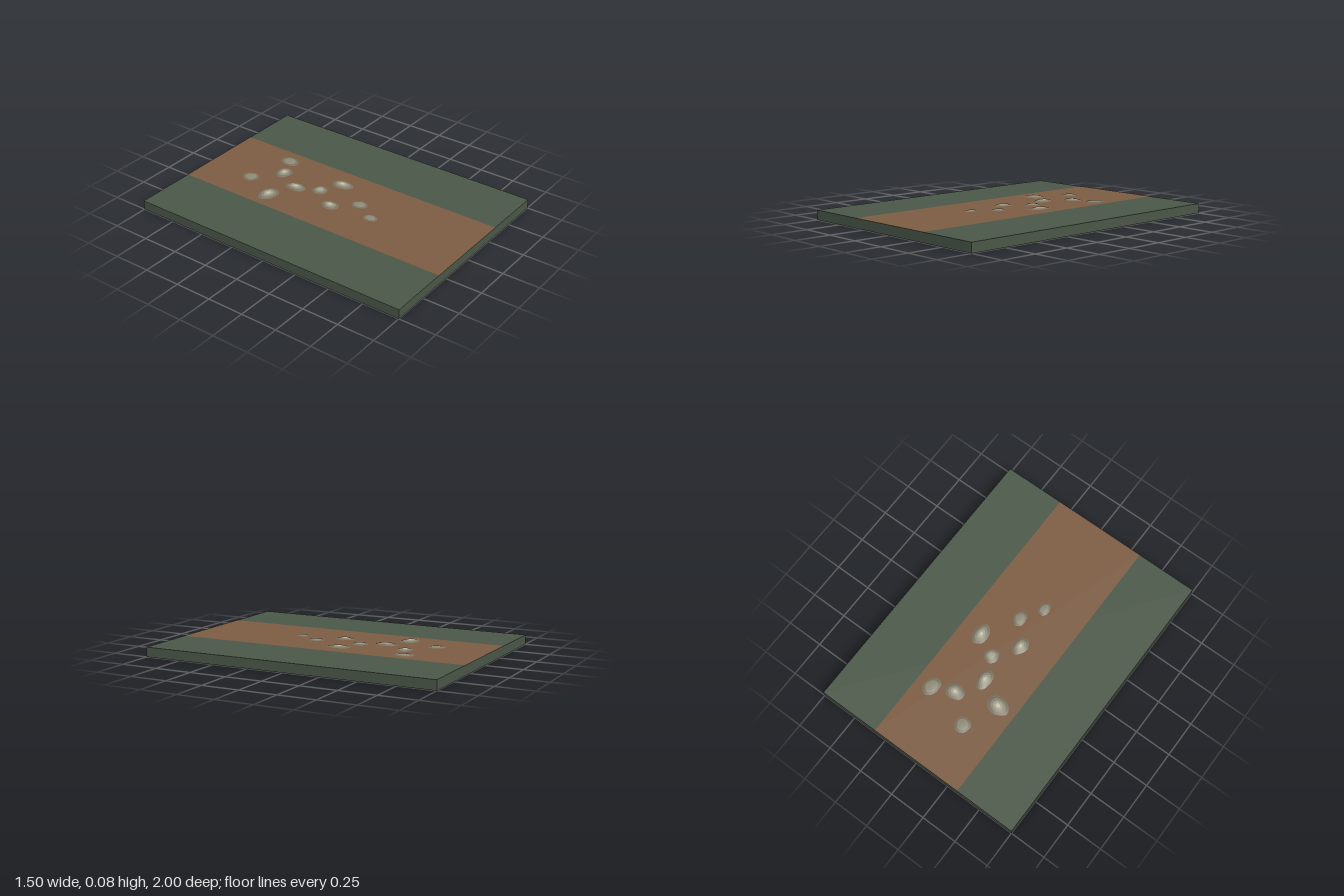
import * as THREE from 'three';

const TOP = 0.064;
const mat = (color) => new THREE.MeshStandardMaterial({ color });

// x, z, half width, half depth, height, turn, colour bands
const STONES = [
  [-0.095, -0.64, 0.052, 0.055, 0.007, 0.1, 2],
  [0.22, -0.555, 0.05, 0.067, 0.008, -0.2, 2],
  [0.077, -0.493, 0.065, 0.052, 0.01, 0.2, 4],
  [-0.2, -0.405, 0.077, 0.06, 0.011, -0.1, 4],
  [-0.026, -0.315, 0.046, 0.074, 0.014, 0.05, 4],
  [0.037, -0.16, 0.05, 0.052, 0.01, -0.1, 3],
  [0.18, -0.08, 0.05, 0.077, 0.011, 0.05, 4],
  [-0.075, 0.005, 0.046, 0.065, 0.011, -0.1, 4],
  [0.042, 0.157, 0.042, 0.055, 0.008, 0.15, 2],
  [-0.048, 0.305, 0.036, 0.048, 0.007, 0, 2],
];

// Mound profile as radius, height; each step is one colour band
const PROFILE = [[1, 0], [0.7, 0.5], [0.44, 0.8], [0.2, 0.95], [0, 1]];

function band(k, seed) {
  const [a, b] = [PROFILE[k], PROFILE[k + 1]];
  const pts = [0, 0.5, 1].map((t) => new THREE.Vector2(
    a[0] + (b[0] - a[0]) * t, a[1] + (b[1] - a[1]) * t));
  const geo = new THREE.LatheGeometry(pts, 32);
  // Slightly uneven outline
  const p = geo.attributes.position;
  for (let i = 0; i < p.count; i++) {
    const ang = Math.atan2(p.getZ(i), p.getX(i));
    const f = 1 + 0.035 * Math.sin(3 * ang + seed) + 0.02 * Math.sin(5 * ang + 2 * seed);
    p.setX(i, p.getX(i) * f);
    p.setZ(i, p.getZ(i) * f);
  }
  geo.computeVertexNormals();
  return geo;
}

export function createModel() {
  const model = new THREE.Group();
  model.name = 'pathTile';

  // Ground slab
  const slab = new THREE.Mesh(new THREE.BoxGeometry(1.5, TOP, 2), mat(0x4a5748));
  slab.name = 'groundSlab';
  slab.position.y = TOP / 2;
  model.add(slab);

  // Earth path lying on the slab
  const path = new THREE.Mesh(new THREE.PlaneGeometry(0.655, 2), mat(0x7d5c42));
  path.name = 'earthPath';
  path.rotation.x = -Math.PI / 2;
  path.position.y = TOP + 0.001;
  model.add(path);

  // Low stones, paler towards the crown
  const tones = [0x7b7462, 0x8f8b79, 0xaaa490, 0xcbc5ae].map(mat);
  STONES.forEach(([x, z, rx, rz, h, turn, bands], i) => {
    const stone = new THREE.Group();
    stone.name = 'stone' + (i + 1);
    for (let k = 0; k < 4; k++) {
      const ring = new THREE.Mesh(band(k, i * 1.7), tones[Math.min(k, bands - 1)]);
      ring.name = 'stoneBand';
      stone.add(ring);
    }
    stone.position.set(x, TOP + 0.0012, z);
    stone.scale.set(rx, h, rz);
    stone.rotation.y = turn;
    model.add(stone);
  });
  return model;
}
